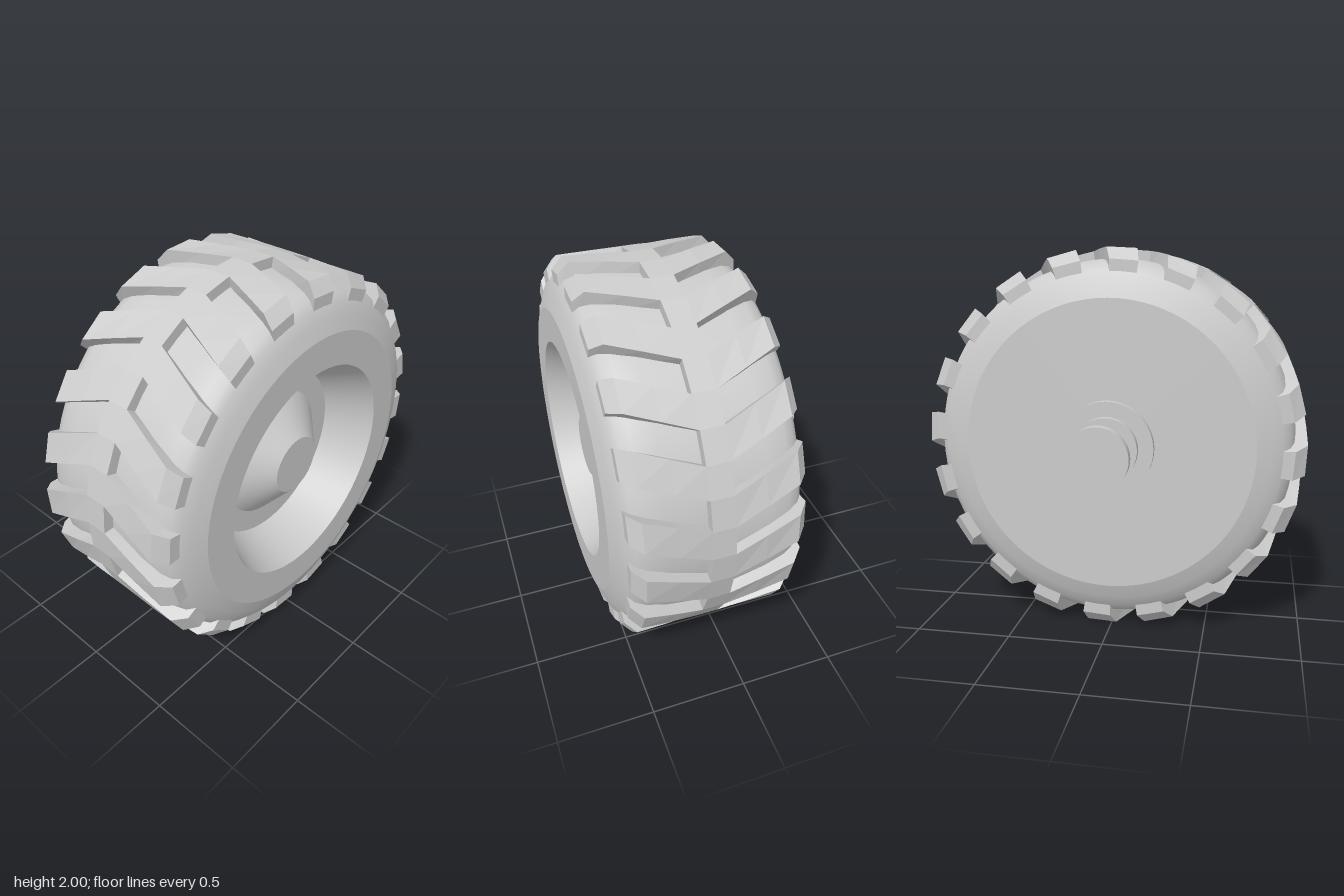
import * as THREE from 'three';
import { toCreasedNormals } from 'three/addons/utils/BufferGeometryUtils.js';

const MID = 0.1425; // middle plane of the tread
const LUGS = 20; // per side
const STEP = Math.PI / LUGS; // angular width of one lug

const smooth = new THREE.MeshStandardMaterial({ color: 0xcccccc });
const faceted = new THREE.MeshStandardMaterial({ color: 0xcccccc, flatShading: true });

// Solid of revolution about the x axis; profile points are [radius, x], running towards +x
function turned(name, profile, crease = 0.5, segments = 80) {
  const points = profile.map(([r, x]) => new THREE.Vector2(r, x));
  const geometry = new THREE.LatheGeometry(points, segments).rotateZ(-Math.PI / 2);
  const mesh = new THREE.Mesh(toCreasedNormals(geometry, crease), smooth);
  mesh.name = name;
  return mesh;
}

// One slanted tread bar, bent from a box: x = across, y = radius, z = around the wheel
function lugGeometry(side) {
  const across = [-0.0575, 0.0575, 0.21, 0.3675, 0.4225];
  const top = [1, 1, 1, 1, 0.94];
  const bottom = [0.92, 0.92, 0.91, 0.89, 0.86];
  const geometry = new THREE.BoxGeometry(4, 1, 1, 4, 1, 1);
  const p = geometry.attributes.position;
  for (let i = 0; i < p.count; i++) {
    const k = Math.round(p.getX(i) * side + 2);
    const u = across[k];
    const r = p.getY(i) > 0 ? top[k] : bottom[k];
    const slant = Math.max(0, u - 0.0575) / 0.365;
    const a = STEP * (p.getZ(i) + 0.5 + slant);
    p.setXYZ(i, MID + side * u, r * Math.cos(a), r * Math.sin(a));
  }
  geometry.computeVertexNormals();
  return geometry;
}

export function createModel() {
  const model = new THREE.Group();
  model.name = 'wheel';
  const wheel = new THREE.Group();
  wheel.name = 'wheelAssembly';
  wheel.position.y = 1;
  model.add(wheel);

  // Tyre: flat back, rounded shoulders, front ring
  wheel.add(
    turned('backPlate', [[0, -0.33], [0.75, -0.33]]),
    turned('tyreBody', [
      [0.75, -0.33], [0.82, -0.306], [0.88, -0.28], [0.915, -0.25], [0.935, -0.2], [0.945, -0.1],
      [0.945, 0.385], [0.935, 0.485], [0.915, 0.535], [0.88, 0.565], [0.82, 0.591], [0.75, 0.615],
    ], 0.7),
    turned('frontSidewall', [[0.75, 0.615], [0.575, 0.615]]),
  );

  // Recessed rim and conical hub
  wheel.add(
    turned('rimWall', [[0.575, 0.615], [0.465, 0.37]]),
    turned('rimFloor', [[0.465, 0.37], [0.345, 0.37]]),
    turned('hub', [[0.345, 0.37], [0.155, 0.53], [0, 0.53]]),
  );

  // Stepped axle with end flange on the back
  wheel.add(turned('axle', [
    [0, -0.618], [0.157, -0.618], [0.157, -0.57], [0.108, -0.57], [0.108, -0.54],
    [0.068, -0.54], [0.068, -0.455], [0.086, -0.448], [0.1, -0.435], [0.109, -0.42], [0.112, -0.407],
    [0.163, -0.407], [0.163, -0.367], [0.24, -0.367], [0.24, -0.33],
  ], 0.6, 48));

  // Chevron tread: two rows of bars, staggered by one bar width
  const tread = new THREE.Group();
  tread.name = 'tread';
  for (const side of [1, -1]) {
    const geometry = lugGeometry(side);
    for (let i = 0; i < LUGS; i++) {
      const lug = new THREE.Mesh(geometry, faceted);
      lug.name = side > 0 ? 'leftTreadBar' : 'rightTreadBar';
      lug.rotation.x = STEP * (2 * i + (side > 0 ? 0 : 1));
      tread.add(lug);
    }
  }
  wheel.add(tread);
  return model;
}
